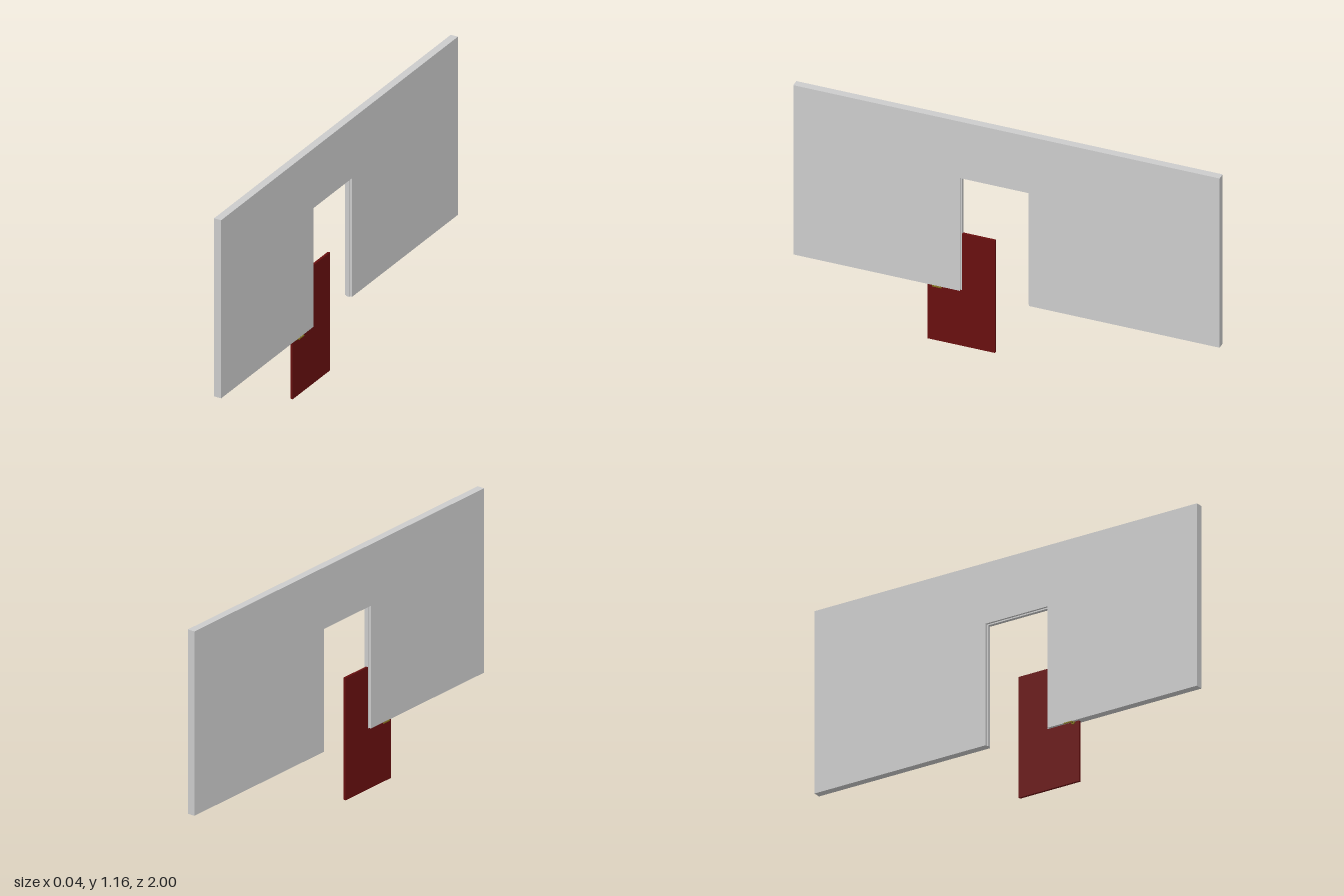
import * as THREE from 'three';

export function createModel() {
  const model = new THREE.Group();
  const grey = new THREE.MeshStandardMaterial({ color: 0xcccccc });
  const red = new THREE.MeshStandardMaterial({ color: 0x680f0f });
  const brass = new THREE.MeshStandardMaterial({ color: 0x80701c });

  const add = (name, geometry, material, x = 0, y = 0, z = 0, parent = model) => {
    const mesh = new THREE.Mesh(geometry, material);
    mesh.name = name;
    mesh.position.set(x, y, z);
    parent.add(mesh);
    return mesh;
  };

  // Outline in (z, y), extruded symmetrically along x
  const slab = (points, thickness) => {
    const shape = new THREE.Shape(points.map(([z, y]) => new THREE.Vector2(-z, y)));
    const geometry = new THREE.ExtrudeGeometry(shape, { depth: thickness, bevelEnabled: false });
    return geometry.translate(0, 0, -thickness / 2).rotateY(Math.PI / 2);
  };

  const base = 0.29, top = 1.165;
  const z0 = -0.105, z1 = 0.219, head = 0.873;

  // Wall with a doorway open at the bottom
  add('wall', slab([
    [-1, base], [z0, base], [z0, head], [z1, head],
    [z1, base], [1, base], [1, top], [-1, top],
  ], 0.036), grey);

  // Narrow stop running round the doorway
  const s = 0.006;
  add('doorStop', slab([
    [z0, base], [z0 + s, base], [z0 + s, head - s], [z1 - s, head - s],
    [z1 - s, base], [z1, base], [z1, head], [z0, head],
  ], 0.016), grey);

  // Door leaf, lowered and partly inside the wall
  add('door', new THREE.BoxGeometry(0.011, 0.58, 0.315), red, 0, 0.29, 0.217);

  // Lever handle on each side of the door
  for (const side of [-1, 1]) {
    const handle = new THREE.Group();
    handle.name = side > 0 ? 'leftHandle' : 'rightHandle';
    handle.position.set(0, 0.287, 0.345);
    const rose = new THREE.CylinderGeometry(0.009, 0.009, 0.005, 20).rotateZ(Math.PI / 2);
    const stem = new THREE.CylinderGeometry(0.003, 0.003, 0.015, 12).rotateZ(Math.PI / 2);
    add('rose', rose, brass, side * 0.008, 0, 0, handle);
    add('stem', stem, brass, side * 0.0135, 0, 0, handle);
    add('lever', new THREE.BoxGeometry(0.004, 0.005, 0.043), brass, side * 0.02, 0, -0.0195, handle);
    model.add(handle);
  }

  return model;
}
